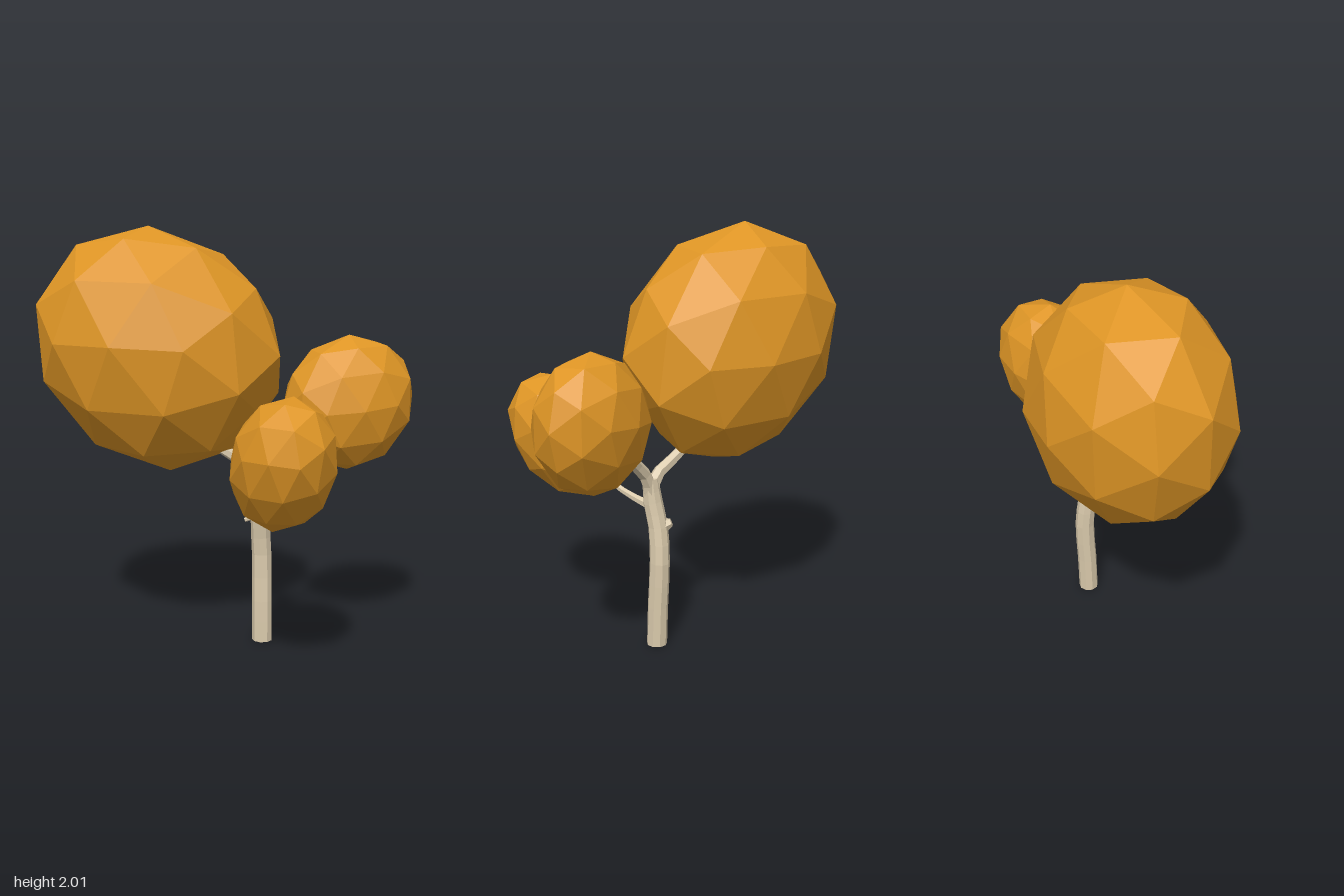
import * as THREE from 'three';

const V = (p) => new THREE.Vector3(...p);

// Tapered, faceted limb with closed ends; each point is [x, y, z, radius]
function limbGeometry(points, sides, steps) {
  const curve = new THREE.CatmullRomCurve3(points.map((p) => V(p.slice(0, 3))));
  const frames = curve.computeFrenetFrames(steps, false);
  const pos = [];
  const index = [];
  for (let i = 0; i <= steps; i++) {
    const t = i / steps;
    const c = curve.getPoint(t);
    const f = Math.min(t * (points.length - 1), points.length - 1.0001);
    const k = Math.floor(f);
    const r = THREE.MathUtils.lerp(points[k][3], points[k + 1][3], f - k);
    for (let j = 0; j < sides; j++) {
      const a = (j / sides) * Math.PI * 2;
      const p = c.clone()
        .addScaledVector(frames.normals[i], Math.cos(a) * r)
        .addScaledVector(frames.binormals[i], Math.sin(a) * r);
      if (points[0][1] === 0 && i === 0) p.y = 0; // level foot
      pos.push(p.x, p.y, p.z);
      if (i < steps) {
        const A = i * sides + j, B = i * sides + ((j + 1) % sides);
        index.push(A, B, A + sides, B, B + sides, A + sides);
      }
    }
  }
  // End caps
  const last = steps * sides;
  for (let j = 1; j < sides - 1; j++) {
    index.push(0, j + 1, j, last, last + j, last + j + 1);
  }
  const g = new THREE.BufferGeometry();
  g.setAttribute('position', new THREE.Float32BufferAttribute(pos, 3));
  g.setIndex(index);
  g.computeVertexNormals();
  return g;
}

// Faceted, slanted egg spanned by three vectors, cut flat on the side facing its branch
function crownGeometry({ center, width, height, depth, turn, cut, cutAt }) {
  const g = new THREE.IcosahedronGeometry(1.015, 1);
  g.rotateY(turn);
  g.applyMatrix4(new THREE.Matrix4().makeBasis(V(width), V(height), V(depth)));
  const p = g.attributes.position;
  const v = new THREE.Vector3();
  const n = V(cut).normalize();
  for (let i = 0; i < p.count; i++) {
    v.fromBufferAttribute(p, i);
    v.addScaledVector(n, -Math.max(0, v.dot(n) - cutAt));
    p.setXYZ(i, v.x, v.y, v.z);
  }
  g.translate(...center);
  g.computeVertexNormals();
  return g;
}

export function createModel() {
  const tree = new THREE.Group();
  tree.name = 'tree';
  const bark = new THREE.MeshStandardMaterial({ color: 0xdacaac, flatShading: true });
  bark.name = 'pale bark';
  const foliage = new THREE.MeshStandardMaterial({ color: 0xde9525, flatShading: true });
  foliage.name = 'amber foliage';

  const add = (name, geometry, material) => {
    const mesh = new THREE.Mesh(geometry, material);
    mesh.name = name;
    tree.add(mesh);
  };

  // Trunk, fork and side branches
  const limbs = {
    trunk: [[0.117, 0, 0.127, 0.05], [0.122, 0.2, 0.122, 0.05], [0.13, 0.43, 0.113, 0.049],
      [0.112, 0.6, 0.118, 0.048], [0.098, 0.72, 0.14, 0.047], [0.1, 0.84, 0.152, 0.038]],
    backBranch: [[0.1, 0.77, 0.15, 0.038], [0.085, 0.85, 0.12, 0.031],
      [0.025, 0.915, 0.03, 0.028], [-0.035, 0.98, -0.055, 0.024]],
    leftBranch: [[0.1, 0.76, 0.148, 0.038], [0.12, 0.85, 0.172, 0.033],
      [0.185, 0.94, 0.235, 0.029], [0.28, 1.03, 0.3, 0.023]],
    rightBranch: [[0.1, 0.7, 0.14, 0.026], [0.04, 0.715, 0.2, 0.02],
      [-0.06, 0.75, 0.29, 0.015], [-0.15, 0.83, 0.4, 0.011]],
    knot: [[0.112, 0.6, 0.11, 0.036], [0.114, 0.612, 0.08, 0.031], [0.118, 0.622, 0.055, 0.02]],
    twigStub: [[0.11, 0.62, 0.1, 0.016], [0.085, 0.61, 0.07, 0.014], [0.07, 0.6, 0.053, 0.01]],
  };
  for (const [name, points] of Object.entries(limbs)) {
    const main = name === 'trunk';
    add(name, limbGeometry(points, main ? 9 : 6, main ? 10 : 5), bark);
  }

  // Crowns
  add('largeCrown', crownGeometry({
    center: [-0.18, 1.428, -0.27],
    width: [0.495, -0.04, 0.148], height: [0, 0.569, -0.065], depth: [0, 0, 0.526],
    turn: 0.5, cut: [0.14, -0.61, 0.78], cutAt: 0.54,
  }), foliage);
  add('leftCrown', crownGeometry({
    center: [0.38, 1.178, 0.432],
    width: [0.298, 0.036, 0.079], height: [0, 0.317, 0], depth: [0, 0, 0.252],
    turn: 1.1, cut: [-0.6, -0.65, -0.47], cutAt: 0.29,
  }), foliage);
  add('rightCrown', crownGeometry({
    center: [-0.256, 0.977, 0.537],
    width: [0.255, -0.052, -0.071], height: [0, 0.296, 0.054], depth: [0, 0, 0.262],
    turn: 0.2, cut: [0.42, -0.65, -0.62], cutAt: 0.32,
  }), foliage);
  return tree;
}
